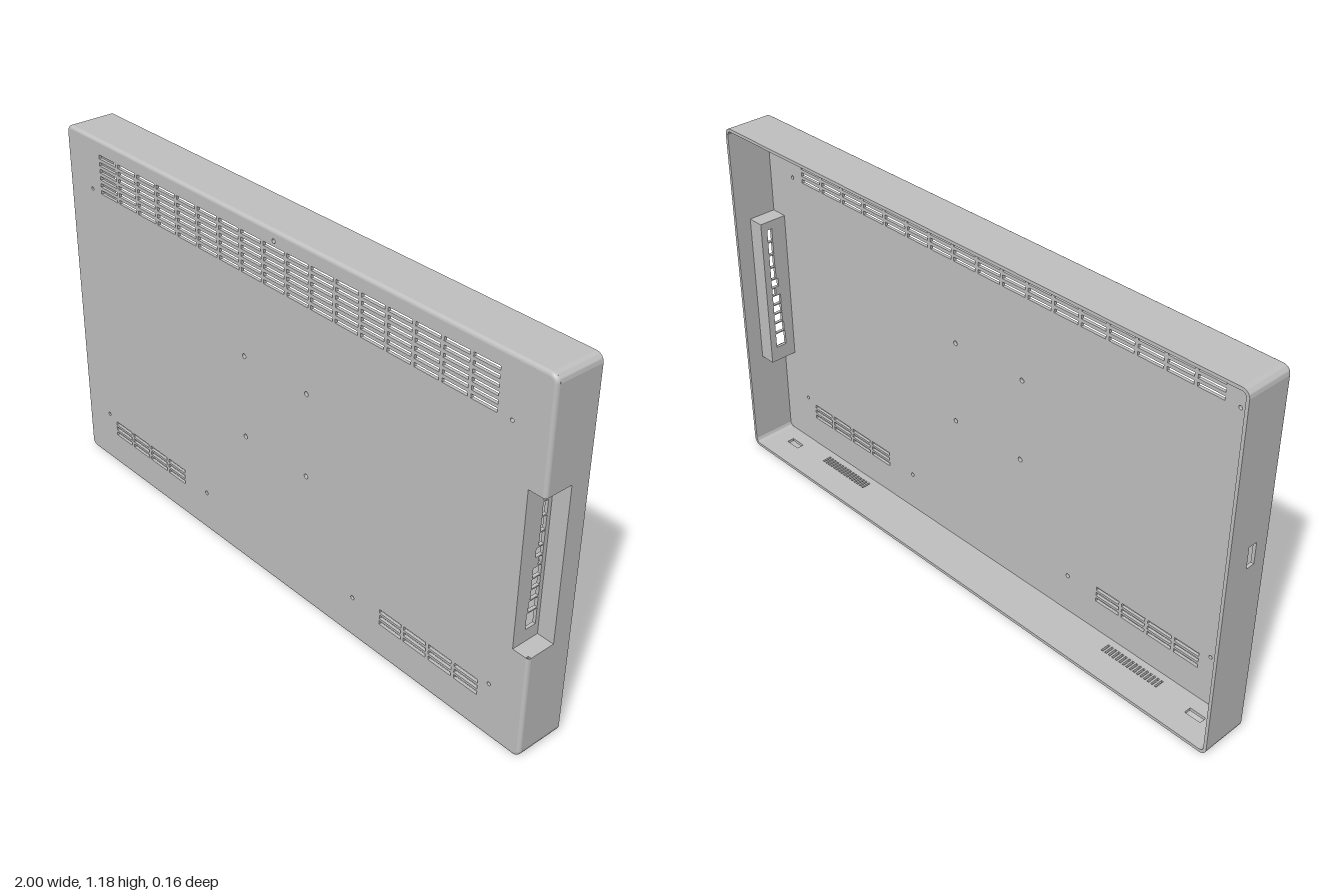
import * as THREE from 'three';
import { toCreasedNormals } from 'three/addons/utils/BufferGeometryUtils.js';

const H = 1.178;          // overall height
const D = 0.079;          // half depth
const T = 0.01;           // sheet thickness, also the front edge rounding
const R = 0.024;          // corner radius
const NOTCH = { x: 0.945, y0: 0.345, y1: 0.84, z: -0.015 };

const V = (x, y) => new THREE.Vector2(x, y);
const poly = (pts) => new THREE.Shape(pts.map(([x, y]) => V(x, y)));
const rect = (x0, y0, x1, y1) => poly([[x0, y0], [x1, y0], [x1, y1], [x0, y1]]);

function rectHole(shape, cx, cy, w, h) {
  const a = w / 2, b = h / 2;
  shape.holes.push(new THREE.Path([
    V(cx - a, cy - b), V(cx - a, cy + b), V(cx + a, cy + b), V(cx + a, cy - b),
  ]));
}

function roundHole(shape, cx, cy, r) {
  const p = new THREE.Path();
  p.absarc(cx, cy, r, 0, Math.PI * 2, true);
  shape.holes.push(p);
}

// Outline of the cover, inset by d, running from above the notch round to below it
function outline(d) {
  const pts = [V(1 - d, NOTCH.y1)];
  [[1, 1], [-1, 1], [-1, 0], [1, 0]].forEach(([sx, top], q) => {
    const cx = sx * (1 - R), cy = top ? H - R : R;
    for (let i = 0; i <= 6; i++) {
      const a = (q + i / 6) * Math.PI / 2;
      pts.push(V(cx + (R - d) * Math.cos(a), cy + (R - d) * Math.sin(a)));
    }
  });
  pts.push(V(1 - d, NOTCH.y0));
  return pts;
}

// Quarter-round strip between the walls and the front plate
function edgeGeometry() {
  const steps = 4, pos = [], idx = [];
  let n = 0;
  for (let k = 0; k <= steps; k++) {
    const a = k / steps * Math.PI / 2;
    const ring = outline(T * (1 - Math.cos(a)));
    n = ring.length;
    ring.forEach((p) => pos.push(p.x, p.y, D - T + T * Math.sin(a)));
  }
  for (let k = 0; k < steps; k++) {
    for (let i = 0; i < n - 1; i++) {
      const a = k * n + i, b = a + 1, c = a + n, d = c + 1;
      idx.push(a, b, d, a, d, c);
    }
  }
  const g = new THREE.BufferGeometry();
  g.setAttribute('position', new THREE.Float32BufferAttribute(pos, 3));
  g.setIndex(idx);
  g.computeVertexNormals();
  return g;
}

export function createModel() {
  const model = new THREE.Group();
  model.name = 'displayBackCover';
  const grey = new THREE.MeshStandardMaterial({ color: 0xc0c0c0, side: THREE.DoubleSide });
  grey.name = 'coverGrey';

  const add = (name, geo, x = 0, y = 0, z = 0) => {
    const mesh = new THREE.Mesh(geo, grey);
    mesh.name = name;
    mesh.position.set(x, y, z);
    model.add(mesh);
    return mesh;
  };
  const extrude = (shape, depth = T) =>
    new THREE.ExtrudeGeometry(shape, { depth, bevelEnabled: false, curveSegments: 8 });
  // Upright panel: shape x is -z; level panel: shape y is -z
  const upright = (name, shape, x) => { add(name, extrude(shape), x).rotation.y = Math.PI / 2; };
  const level = (name, shape, y) => { add(name, extrude(shape), 0, y).rotation.x = -Math.PI / 2; };

  // Front plate with vents and screw holes
  const plate = new THREE.Shape([...outline(T), V(NOTCH.x, NOTCH.y0), V(NOTCH.x, NOTCH.y1)]);
  const pitch = 0.0982;
  for (let c = 0; c < 17; c++) {
    for (let r = 0; r < 6; r++) rectHole(plate, (c - 8) * pitch, 1.007 + r * 0.0232, 0.087, 0.0125);
  }
  for (const s of [-1, 1]) {
    for (let c = 0; c < 4; c++) {
      for (let r = 0; r < 3; r++) rectHole(plate, s * (0.5 + c * pitch), 0.121 + r * 0.0203, 0.087, 0.0125);
    }
    for (const y of [0.455, 0.73]) roundHole(plate, s * 0.137, y, 0.008);
    for (const y of [0.18, 1.003]) roundHole(plate, s * 0.877, y, 0.006);
    roundHole(plate, s * 0.343, 0.14, 0.007);
  }
  roundHole(plate, 0, 1.145, 0.007);
  add('frontPlate', extrude(plate), 0, 0, D - T);
  add('roundedFrontEdge', edgeGeometry());

  // Top and bottom walls; the bottom one has grilles and slots
  const F = D - T;
  level('topWall', rect(-1 + R, -F, 1 - R, D), H - T);
  const bottom = rect(-1 + R, -F, 1 - R, D);
  for (const s of [-1, 1]) {
    for (let i = 0; i < 16; i++) rectHole(bottom, s * 0.64 + (i - 7.5) * 0.0135, -0.03, 0.007, 0.032);
    rectHole(bottom, s * 0.89, -0.01, 0.055, 0.024);
  }
  level('bottomWall', bottom, 0);

  // Side walls: a single opening on one, the connector notch on the other
  const rightWall = rect(-F, R, D, H - R);
  rectHole(rightWall, -0.013, 0.645, 0.03, 0.07);
  upright('rightWall', rightWall, -1);
  upright('leftWall', poly([
    [-F, R], [D, R], [D, H - R], [-F, H - R],
    [-F, NOTCH.y1], [-NOTCH.z, NOTCH.y1], [-NOTCH.z, NOTCH.y0], [-F, NOTCH.y0],
  ]), 1 - T);

  // Rounded vertical corners
  [[1, 1], [-1, 1], [-1, 0], [1, 0]].forEach(([sx, top], q) => {
    const a = q * Math.PI / 2, b = a + Math.PI / 2;
    const s = new THREE.Shape();
    s.absarc(0, 0, R, a, b, false);
    s.absarc(0, 0, R - T, b, a, true);
    add('corner', toCreasedNormals(extrude(s, D + F), 0.6), sx * (1 - R), top ? H - R : R, -D);
  });

  // Connector recess: port wall, floor and two ends
  const back = NOTCH.z - T;
  const portWall = rect(-F, NOTCH.y0 - T, -back, NOTCH.y1 + T);
  // Each port: lower y, upper y, depth in z
  const ports = [
    [0.385, 0.436, 0.038], [0.44, 0.474, 0.035], [0.478, 0.509, 0.031], [0.513, 0.543, 0.031],
    [0.547, 0.578, 0.031], [0.582, 0.606, 0.014], [0.61, 0.638, 0.027], [0.642, 0.682, 0.019],
    [0.686, 0.728, 0.018], [0.733, 0.775, 0.018], [0.779, 0.822, 0.018],
  ];
  for (const [y0, y1, d] of ports) rectHole(portWall, 0.002 - d / 2, (y0 + y1) / 2, d, y1 - y0);
  upright('portWall', portWall, NOTCH.x - T);
  add('recessFloor', extrude(rect(NOTCH.x, NOTCH.y0 - T, 1 - T, NOTCH.y1 + T)), 0, 0, back);
  const end = () => rect(NOTCH.x, -F, 1 - T, -NOTCH.z);
  level('recessTop', end(), NOTCH.y1);
  level('recessBottom', end(), NOTCH.y0 - T);

  return model;
}
